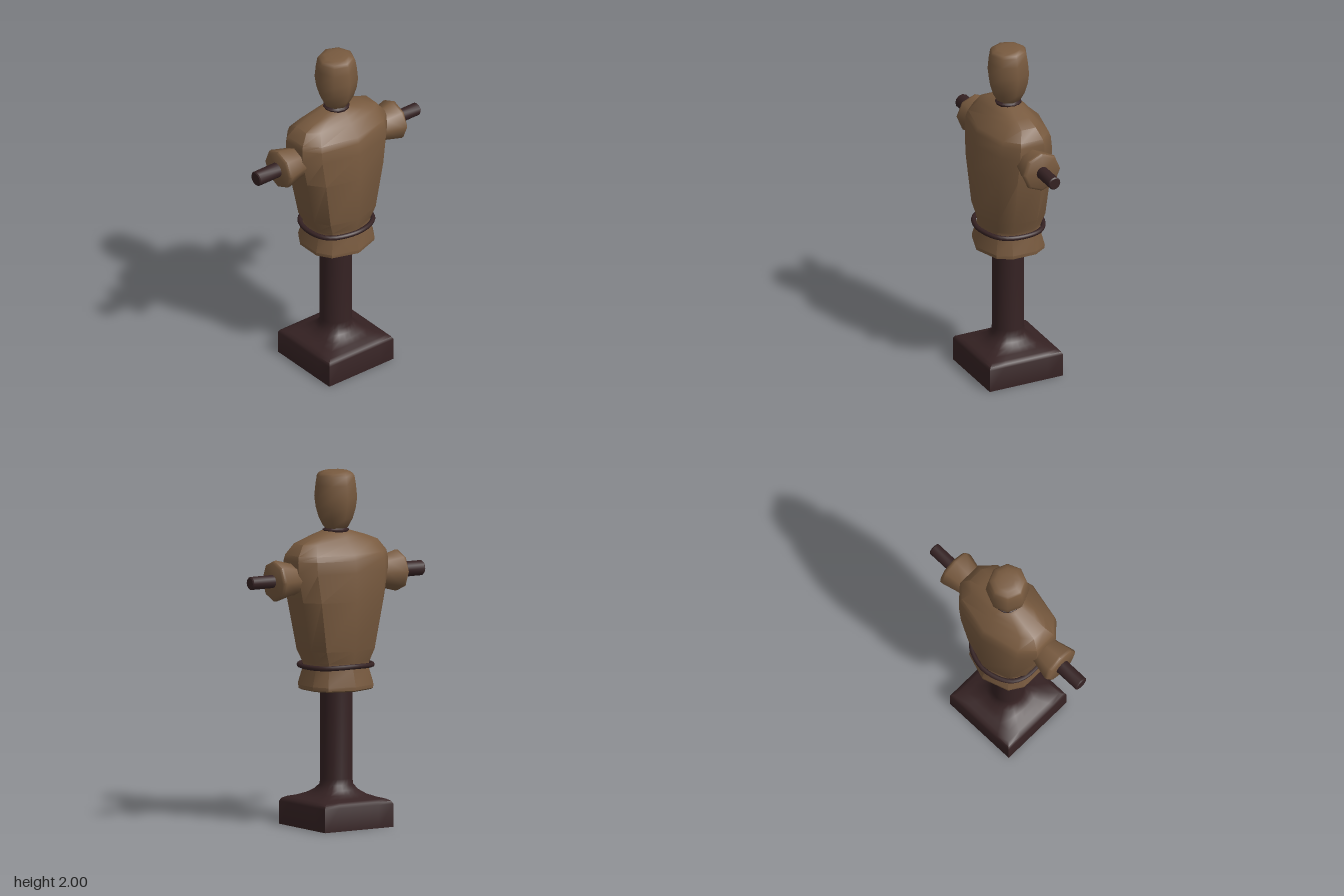
import * as THREE from 'three';
import { toCreasedNormals } from 'three/addons/utils/BufferGeometryUtils.js';

// Unit outlines, counted from +x towards +z
const round = (n) => Array.from({ length: n }, (_, j) => {
  const a = (j / n) * Math.PI * 2;
  return [Math.cos(a), Math.sin(a)];
});
// Ten-sided body outline: flat at the sides, pointed at front and back
const bodyOutline = [
  [1, 0.36], [0.75, 0.75], [0, 1], [-0.75, 0.75], [-1, 0.36],
  [-1, -0.36], [-0.75, -0.75], [0, -1], [0.75, -0.75], [1, -0.36],
];

// Closed loft of an outline through rows of [y, rx, rz, squareness]
function loft(rows, outline, crease) {
  const pos = [], index = [], segs = outline.length;
  for (const [y, rx, rz = rx, sq = 0] of rows) {
    for (const [c, s] of outline) {
      const k = 1 + sq * (1 / Math.max(Math.abs(c), Math.abs(s)) - 1);
      pos.push(c * rx * k, y, s * rz * k);
    }
  }
  const last = rows.length - 1, bottom = rows.length * segs, top = bottom + 1;
  pos.push(0, rows[0][0], 0, 0, rows[last][0], 0);
  for (let j = 0; j < segs; j++) {
    const n = (j + 1) % segs;
    for (let i = 0; i < last; i++) {
      const a = i * segs + j, b = i * segs + n;
      index.push(a, a + segs, b, b, a + segs, b + segs);
    }
    index.push(bottom, j, n, top, last * segs + n, last * segs + j);
  }
  const g = new THREE.BufferGeometry();
  g.setAttribute('position', new THREE.Float32BufferAttribute(pos, 3));
  g.setIndex(index);
  return toCreasedNormals(g, crease);
}

export function createModel() {
  const model = new THREE.Group();
  model.name = 'trainingDummy';
  const wood = new THREE.MeshStandardMaterial({ color: 0x785a3f });
  wood.name = 'brownWood';
  const dark = new THREE.MeshStandardMaterial({ color: 0x352223 });
  dark.name = 'darkWood';
  const add = (name, geometry, material, parent = model) => {
    const mesh = new THREE.Mesh(geometry, material);
    mesh.name = name;
    parent.add(mesh);
    return mesh;
  };

  // Square plinth flaring into a round post
  add('baseAndPost', loft([
    [0, 0.229, 0.229, 1], [0.13, 0.229, 0.229, 1], [0.146, 0.221, 0.221, 1],
    [0.158, 0.2, 0.2, 1], [0.168, 0.165, 0.165, 0.9], [0.185, 0.135, 0.135, 0.6],
    [0.208, 0.11, 0.11, 0.3], [0.235, 0.094], [0.27, 0.09], [0.8, 0.09],
  ], round(24), 0.8), dark).position.x = -0.004;

  // Faceted torso, pinched at the waist
  add('torso', loft([
    [0.772, 0.185, 0.185], [0.78, 0.2, 0.2], [0.8, 0.202, 0.202],
    [0.9, 0.174, 0.174], [0.93, 0.18, 0.18], [1.0, 0.214, 0.2],
    [1.28, 0.271, 0.219], [1.44, 0.3, 0.212], [1.51, 0.3, 0.202],
    [1.54, 0.293, 0.188], [1.6, 0.25, 0.125], [1.63, 0.175, 0.1],
    [1.658, 0.085, 0.07], [1.665, 0.06, 0.055],
  ], bodyOutline, 0.66), wood);

  // Cord belt following the body outline, slightly lower at the sides
  const cord = new THREE.CatmullRomCurve3(bodyOutline.map(([c, s]) =>
    new THREE.Vector3(c * 0.19, 0.914 - 0.008 * Math.abs(c), s * 0.19)), true);
  add('belt', new THREE.TubeGeometry(cord, 40, 0.014, 8, true), dark);

  // Neck collar and head
  add('neck', loft([[1.64, 0.06], [1.66, 0.074], [1.668, 0.074], [1.676, 0.06], [1.69, 0.055]], round(12), 0.9), dark);
  add('head', loft([
    [1.672, 0.055], [1.682, 0.07], [1.73, 0.096], [1.79, 0.114], [1.85, 0.122],
    [1.92, 0.115], [1.97, 0.107], [1.985, 0.097], [1.996, 0.07], [2.0, 0.04],
  ], round(8), 0.9), wood);

  // Arms: flared sleeve with a round peg, the right peg a little thicker
  for (const [side, sign, r] of [['left', 1, 0.037], ['right', -1, 0.043]]) {
    const arm = new THREE.Group();
    arm.name = side + 'Arm';
    arm.position.y = 1.405;
    arm.rotation.z = -sign * Math.PI / 2;
    add(side + 'Sleeve', loft([
      [0.24, 0.088], [0.3, 0.09], [0.4, 0.116], [0.414, 0.114], [0.424, 0.1],
    ], round(8), 0.9), wood, arm);
    add(side + 'Peg', loft([
      [0.4, r], [0.57, r], [0.576, r - 0.006],
    ], round(12), 0.7), dark, arm);
    model.add(arm);
  }
  return model;
}
